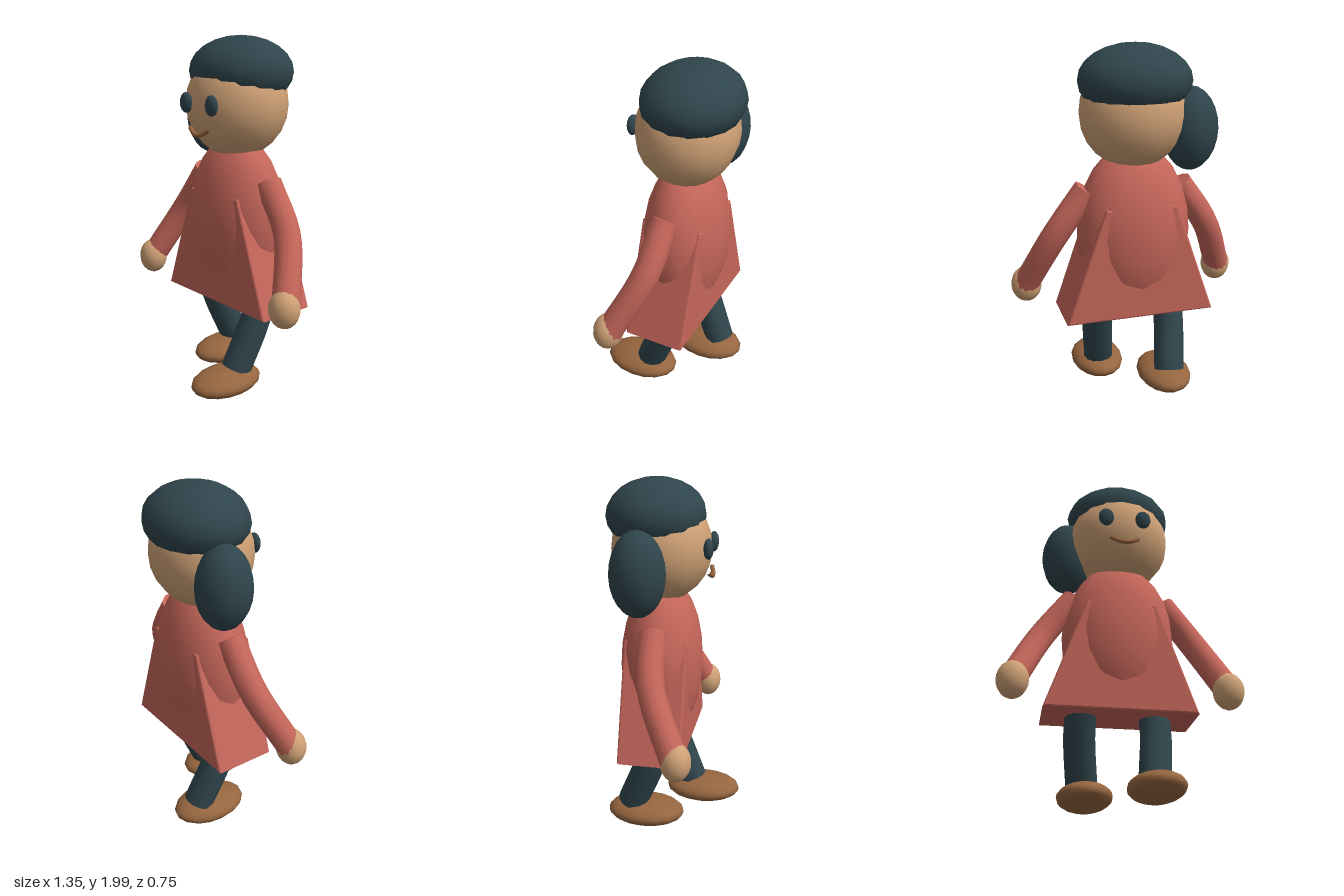
import * as THREE from 'three';

const mat = (name, color) => {
  const m = new THREE.MeshStandardMaterial({ color });
  m.name = name;
  return m;
};

export function createModel() {
  const coral = mat('coral cloth', 0xc5665a);
  const skin = mat('skin', 0xcfa176);
  const teal = mat('dark teal', 0x2f454c);
  const brown = mat('brown', 0x966640);

  const model = new THREE.Group();
  model.name = 'walkingFigure';

  const add = (name, geometry, material, parent = model) => {
    const mesh = new THREE.Mesh(geometry, material);
    mesh.name = name;
    parent.add(mesh);
    return mesh;
  };

  // Ellipsoid from a centre and three radii
  const ellipsoid = (name, material, center, radii, parent = model) => {
    const g = new THREE.SphereGeometry(1, 16, 12);
    g.scale(...radii);
    g.translate(...center);
    return add(name, g, material, parent);
  };

  // Curved limb with flat closed ends
  const limb = (name, material, points, radius, sides = 12) => {
    const group = new THREE.Group();
    group.name = name;
    model.add(group);
    const curve = new THREE.CatmullRomCurve3(points.map(p => new THREE.Vector3(...p)));
    add(name + 'Tube', new THREE.TubeGeometry(curve, 12, radius, sides), material, group);
    for (const t of [0, 1]) {
      const cap = add(name + 'Cap', new THREE.CircleGeometry(radius, sides), material, group);
      cap.position.copy(curve.getPointAt(t));
      const out = curve.getTangentAt(t).multiplyScalar(t ? 1 : -1);
      cap.quaternion.setFromUnitVectors(new THREE.Vector3(0, 0, 1), out);
    }
    return group;
  };

  // Head and hair
  ellipsoid('head', skin, [0, 1.63, -0.075], [0.3, 0.3, 0.277]);
  ellipsoid('hairCap', teal, [0, 1.805, -0.105], [0.312, 0.195, 0.272]);
  ellipsoid('hairBun', teal, [-0.3, 1.54, -0.145], [0.155, 0.23, 0.15]);

  // Smile
  const smile = new THREE.CatmullRomCurve3([
    [-0.08, 1.513, 0.19], [-0.04, 1.488, 0.202], [0, 1.479, 0.206],
    [0.04, 1.488, 0.202], [0.08, 1.513, 0.19],
  ].map(p => new THREE.Vector3(...p)));
  add('mouth', new THREE.TubeGeometry(smile, 12, 0.012, 8), brown);

  // Torso
  ellipsoid('torso', coral, [0, 0.975, -0.075], [0.325, 0.485, 0.23]);

  // Flared skirt: bevelled trapezoid running front to back
  const b = 0.012;
  const outline = new THREE.Shape();
  outline.moveTo(-0.41, 0.5 + b);
  outline.lineTo(0.41, 0.5 + b);
  outline.lineTo(0.192, 1.13);
  outline.lineTo(-0.192, 1.13);
  outline.closePath();
  const skirt = new THREE.ExtrudeGeometry(outline, {
    depth: 0.352 - 2 * b, bevelEnabled: true, bevelThickness: b, bevelSize: b, bevelSegments: 2,
  });
  skirt.translate(0, 0, -0.252 + b);
  add('skirt', skirt, coral);

  // Paired parts; the legs swing in opposite directions
  for (const s of [1, -1]) {
    const side = s > 0 ? 'left' : 'right';
    ellipsoid(side + 'Eye', teal, [s * 0.108, 1.645, 0.195], [0.045, 0.056, 0.027]);
    limb(side + 'Arm', coral, [
      [s * 0.265, 1.22, -0.075], [s * 0.44, 0.97, -0.05], [s * 0.592, 0.64, 0.1],
    ], 0.075);
    ellipsoid(side + 'Hand', skin, [s * 0.588, 0.635, 0.108], [0.088, 0.105, 0.082]);
    limb(side + 'Leg', teal, [
      [s * 0.19, 0.66, -0.075 - s * 0.045], [s * 0.207, 0.44, -0.075 + s * 0.025],
      [s * 0.175, 0.135, -0.075 + s * 0.15],
    ], 0.088);
    ellipsoid(side + 'Shoe', brown, [s * 0.168, 0.081, s * 0.146], [0.152, 0.075, 0.225]);
  }

  return model;
}
